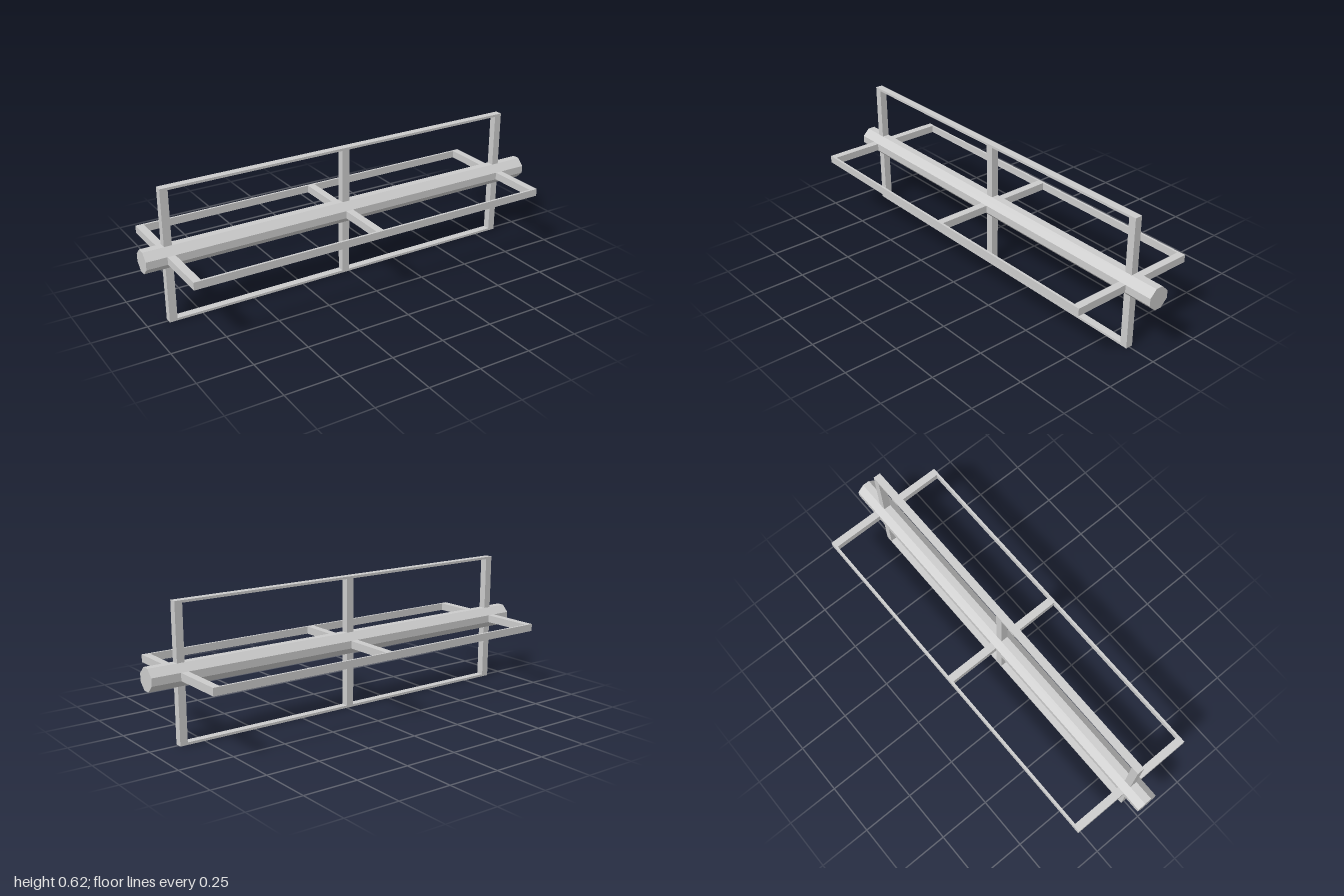
import * as THREE from 'three';

const AXIS_Y = 0.31;   // height of the shaft axis
const RADIUS = 0.31;   // reach of the blades from the axis
const DEPTH = 0.035;   // thickness of the frames
const RAIL = 0.011;    // thickness of the outer rails

const material = new THREE.MeshStandardMaterial({ color: 0xcccccc, flatShading: true });

const rect = (path, x0, y0, x1, y1) =>
  path.moveTo(x0, y0).lineTo(x1, y0).lineTo(x1, y1).lineTo(x0, y1).closePath();

// Octagonal bar running along x
function createShaft() {
  const a = 0.05, b = 0.0175;
  const corners = [[a, -b], [a, b], [b, a], [-b, a], [-a, b], [-a, -b], [-b, -a], [b, -a]];
  const shape = new THREE.Shape(corners.map(([x, y]) => new THREE.Vector2(x, y)));
  const geometry = new THREE.ExtrudeGeometry(shape, { depth: 2, bevelEnabled: false });
  geometry.translate(0, 0, -1).rotateY(Math.PI / 2);
  const mesh = new THREE.Mesh(geometry, material);
  mesh.name = 'shaft';
  return mesh;
}

// Flat frame with two openings: outer rails, two end posts and a middle post
function createFrame(name, tilt) {
  const shape = new THREE.Shape();
  rect(shape, -0.905, -RADIUS, 0.867, RADIUS);
  for (const [x0, x1] of [[-0.869, -0.037], [-0.001, 0.832]]) {
    shape.holes.push(rect(new THREE.Path(), x0, -RADIUS + RAIL, x1, RADIUS - RAIL));
  }
  const geometry = new THREE.ExtrudeGeometry(shape, { depth: DEPTH, bevelEnabled: false });
  geometry.translate(0, 0, -DEPTH / 2);
  const mesh = new THREE.Mesh(geometry, material);
  mesh.name = name;
  mesh.rotation.x = tilt;
  return mesh;
}

export function createModel() {
  const reel = new THREE.Group();
  reel.name = 'reel';
  reel.add(
    createShaft(),
    createFrame('uprightFrame', 0),
    createFrame('levelFrame', Math.PI / 2),
  );
  reel.position.y = AXIS_Y;

  const model = new THREE.Group();
  model.add(reel);
  return model;
}
